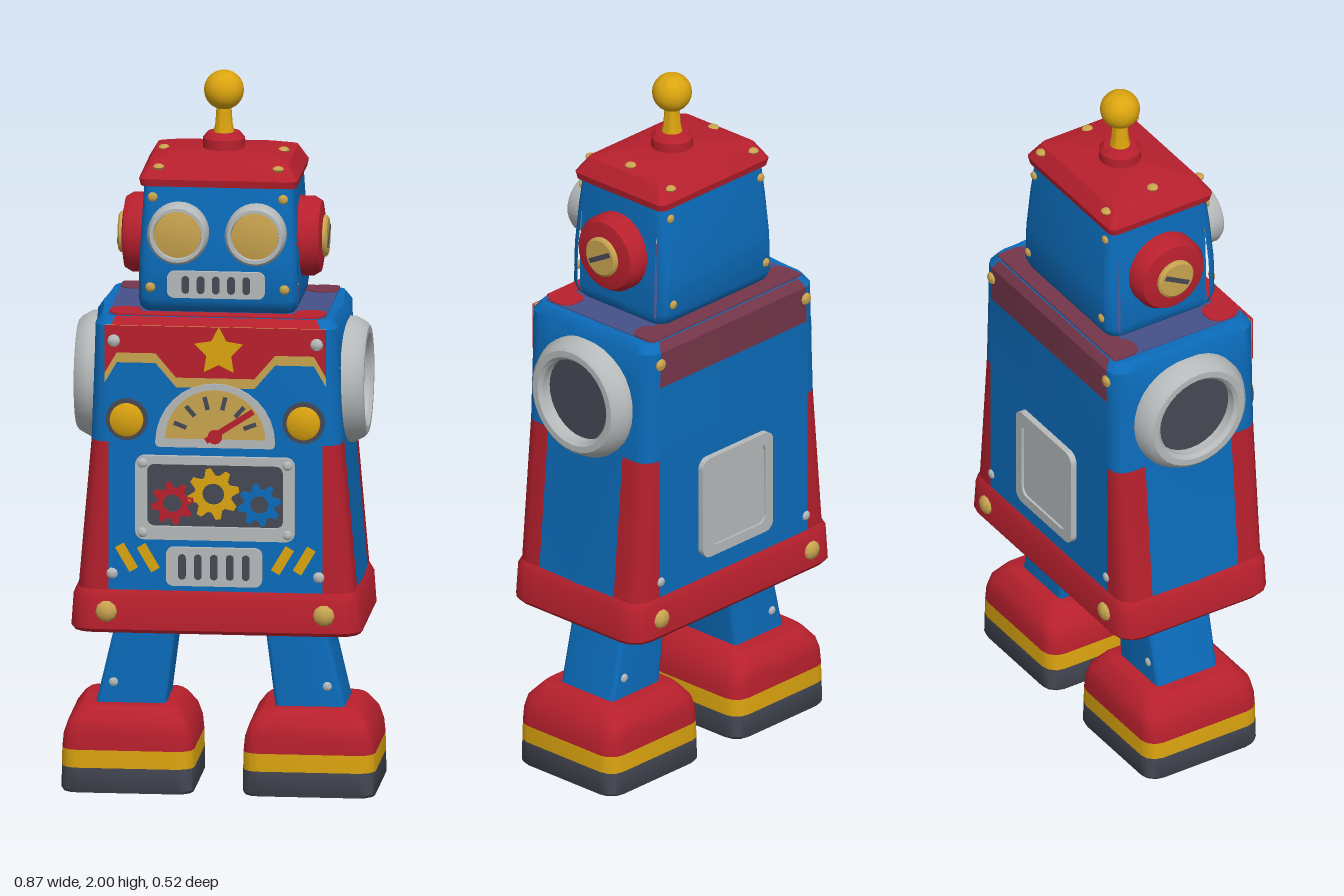
import * as THREE from 'three';
import { toCreasedNormals } from 'three/addons/utils/BufferGeometryUtils.js';

const mat = (name, color) => new THREE.MeshStandardMaterial({ name, color });

export function createModel() {
  const root = new THREE.Group();
  root.name = 'toyRobot';
  const red = mat('red', 0xb8202d), blue = mat('blue', 0x0b6cbb), yellow = mat('yellow', 0xdba40f);
  const tan = mat('pale gold', 0xc9a44f), grey = mat('light grey', 0xb6babb), dark = mat('dark grey', 0x454854);
  const maroon = mat('maroon', 0x75364a), purple = mat('slate purple', 0x465089);

  const add = (name, geo, material) => {
    const m = new THREE.Mesh(toCreasedNormals(geo, 0.62), material);
    m.name = name;
    root.add(m);
    return m;
  };

  // Rounded rectangle section; each entry is [x, z, tag of the face that starts there]
  const section = ({ w, d, r = 0.03, bulge = 0, x = 0 }) => {
    const sz = Math.min(0.14, d - r), fx = Math.min(0.295, w - r), pts = [];
    const arc = (cx, cz, start) => {
      for (let i = 0; i <= 3; i++) {
        const a = start + i * Math.PI / 6;
        pts.push([cx + r * Math.cos(a), cz + r * Math.sin(a), 'corner']);
      }
    };
    pts.push([w + bulge, 0, 'side'], [w, sz, 'corner']);
    arc(w - r, d - r, 0);
    pts.push([fx, d, 'front'], [0, d, 'front'], [-fx, d, 'corner']);
    arc(-w + r, d - r, Math.PI / 2);
    pts.push([-w, sz, 'side'], [-w - bulge, 0, 'side'], [-w, -sz, 'corner']);
    arc(-w + r, -d + r, Math.PI);
    pts.push([-fx, -d, 'back'], [0, -d, 'back'], [fx, -d, 'corner']);
    arc(w - r, -d + r, Math.PI * 1.5);
    pts.push([w, -sz, 'side']);
    return pts.map(p => [p[0] + x, p[1], p[2]]);
  };

  // Closed body through stacked sections, coloured by face tag and height
  const loft = (name, levels, pick) => {
    const bins = new Map(), rings = levels.map(section), n = rings[0].length;
    const put = (m, ...v) => {
      if (!bins.has(m)) bins.set(m, []);
      bins.get(m).push(...v.flat());
    };
    const P = (k, i) => [rings[k][i % n][0], levels[k].y, rings[k][i % n][1]];
    const last = levels.length - 1;
    for (let i = 0; i < n; i++) {
      const p = P(0, i), q = P(0, i + 1);
      if (Math.hypot(p[0] - q[0], p[2] - q[2]) < 1e-5) continue;
      for (let k = 0; k < last; k++) {
        const a = P(k, i), b = P(k, i + 1), c = P(k + 1, i + 1), e = P(k + 1, i);
        put(pick(rings[0][i][2], (levels[k].y + levels[k + 1].y) / 2), a, e, c, a, c, b);
      }
      put(pick('bottom', levels[0].y), [levels[0].x || 0, levels[0].y, 0], p, q);
      put(pick('top', levels[last].y), [levels[last].x || 0, levels[last].y, 0], P(last, i + 1), P(last, i));
    }
    const geo = new THREE.BufferGeometry(), all = [], mats = [...bins.keys()];
    mats.forEach((m, j) => {
      geo.addGroup(all.length / 3, bins.get(m).length / 3, j);
      for (const v of bins.get(m)) all.push(v);
    });
    geo.setAttribute('position', new THREE.Float32BufferAttribute(all, 3));
    return add(name, geo, mats);
  };

  // Flat shapes pushed out along z
  const poly = pts => new THREE.Shape(pts.map(p => new THREE.Vector2(...p)));
  const rrect = (cx, cy, w, h, r) => {
    const s = new THREE.Shape(), x = w / 2 - r, y = h / 2 - r;
    s.absarc(cx + x, cy + y, r, 0, Math.PI / 2);
    s.absarc(cx - x, cy + y, r, Math.PI / 2, Math.PI);
    s.absarc(cx - x, cy - y, r, Math.PI, Math.PI * 1.5);
    s.absarc(cx + x, cy - y, r, Math.PI * 1.5, Math.PI * 2);
    return s;
  };
  const disc = (cx, cy, r) => new THREE.Shape().absarc(cx, cy, r, 0, Math.PI * 2);
  const plate = (name, shape, z, depth, m) => {
    const g = new THREE.ExtrudeGeometry(shape, { depth, bevelEnabled: false, curveSegments: 8 });
    return add(name, g.translate(0, 0, z), m);
  };
  const bar = (name, x1, y1, x2, y2, t, z, m) => {
    const l = Math.hypot(x2 - x1, y2 - y1), nx = -(y2 - y1) / l * t / 2, ny = (x2 - x1) / l * t / 2;
    plate(name, poly([[x1 + nx, y1 + ny], [x1 - nx, y1 - ny], [x2 - nx, y2 - ny], [x2 + nx, y2 + ny]]), z, 0.004, m);
  };

  // Turned parts; the axis points along +-x, y or z
  const orient = (g, axis) => {
    if (axis === 'x') g.rotateZ(-Math.PI / 2);
    if (axis === '-x') g.rotateZ(Math.PI / 2);
    if (axis === 'z') g.rotateX(Math.PI / 2);
    if (axis === '-z') g.rotateX(-Math.PI / 2);
    return g;
  };
  const turned = (name, profile, axis, x, y, z, m) => {
    const g = new THREE.LatheGeometry(profile.map(p => new THREE.Vector2(...p)), 32);
    return add(name, orient(g, axis).translate(x, y, z), m);
  };
  const rivet = (x, y, z, r, axis, m) =>
    add('rivet', orient(new THREE.SphereGeometry(r, 10, 6).scale(1, 0.55, 1), axis).translate(x, y, z), m);

  // Torso and skirt
  const D = 0.232;
  loft('torso', [
    { y: 0.57, w: 0.383, d: D, r: 0.045, bulge: 0.003 }, { y: 1.0, w: 0.346, d: D, r: 0.045, bulge: 0.006 },
    { y: 1.22, w: 0.338, d: D, r: 0.045, bulge: 0.01 }, { y: 1.325, w: 0.335, d: D, r: 0.045, bulge: 0.012 },
    { y: 1.35, w: 0.318, d: 0.214, r: 0.04, bulge: 0.012 }
  ], (tag, y) => {
    if (tag === 'corner' && y < 1) return red;
    if (tag === 'back' && y > 1.22) return maroon;
    return tag === 'front' && y > 1.33 ? red : blue;
  });
  loft('skirt', [
    { y: 0.465, w: 0.395, d: 0.238, r: 0.06 }, { y: 0.475, w: 0.402, d: 0.245, r: 0.06 },
    { y: 0.565, w: 0.396, d: 0.243, r: 0.06 }, { y: 0.585, w: 0.384, d: 0.233, r: 0.05 }
  ], () => red);

  // Painted shoulder top
  const topPlate = (name, shape, y, m) => {
    const g = new THREE.ExtrudeGeometry(shape, { depth: 0.003, bevelEnabled: false });
    add(name, g.rotateX(-Math.PI / 2).translate(0, y, 0), m);
  };
  topPlate('shoulderTop', rrect(0, 0, 0.6, 0.42, 0.03), 1.35, purple);
  topPlate('shoulderBackStrip', rrect(0, 0.175, 0.6, 0.07, 0.01), 1.352, maroon);
  topPlate('shoulderFrontStrip', rrect(0, -0.19, 0.56, 0.045, 0.01), 1.352, red);
  for (const s of [-1, 1]) {
    topPlate('shoulderBackPatch', rrect(s * 0.26, 0.165, 0.08, 0.09, 0.035), 1.353, maroon);
    topPlate('shoulderFrontPatch', rrect(s * 0.255, -0.16, 0.085, 0.09, 0.035), 1.353, red);
  }

  // Chest panel with gold border and star
  const lower = [[0.305, 1.195], [0.272, 1.252], [0.165, 1.252], [0.108, 1.185]];
  const panel = drop => {
    const half = lower.map(([x, y]) => [x, y - drop]);
    return poly([[-0.305, 1.328], ...half.map(([x, y]) => [-x, y]), ...half.reverse(), [0.305, 1.328]]);
  };
  plate('chestBorder', panel(0.028), D - 0.003, 0.006, tan);
  plate('chestPanel', panel(0), D - 0.002, 0.008, red);
  const star = [];
  for (let i = 0; i < 10; i++) {
    const a = Math.PI / 2 + i * Math.PI / 5, r = i % 2 ? 0.036 : 0.07;
    star.push([0.01 + r * Math.cos(a), 1.26 + r * Math.sin(a)]);
  }
  plate('star', poly(star), 0.237, 0.007, yellow);

  // Gauge
  const fan = (r, y) => new THREE.Shape().absarc(0, y, r, 0, Math.PI);
  plate('gaugeFrame', fan(0.165, 1.005), D - 0.005, 0.015, grey);
  plate('gaugeFrameFoot', rrect(0, 1.005, 0.33, 0.03, 0.012), D - 0.005, 0.015, grey);
  plate('gaugeFace', fan(0.138, 1.015), 0.24, 0.004, tan);
  for (let i = 0; i < 6; i++) {
    const a = Math.PI * (0.12 + i * 0.152), c = Math.cos(a), s = Math.sin(a);
    bar('gaugeTick', 0.085 * c, 1.015 + 0.085 * s, 0.122 * c, 1.015 + 0.122 * s, 0.012, 0.242, dark);
  }
  bar('gaugeNeedle', -0.025, 1.01, 0.105, 1.095, 0.016, 0.244, red);
  plate('needleHub', disc(0, 1.022, 0.02), 0.244, 0.005, red);

  // Knobs
  for (const s of [-1, 1]) {
    turned('knobRing', [[0.058, 0], [0.058, 0.012], [0, 0.012]], 'z', s * 0.244, 1.065, D - 0.002, dark);
    turned('knob', [[0.047, 0], [0.046, 0.018], [0.034, 0.024], [0, 0.026]], 'z', s * 0.244, 1.065, D, yellow);
  }

  // Gear window
  const frame = rrect(0, 0.848, 0.44, 0.235, 0.025);
  frame.holes.push(rrect(0, 0.855, 0.375, 0.175, 0.02));
  plate('windowFrame', frame, D - 0.005, 0.02, grey);
  plate('windowBack', rrect(0, 0.855, 0.4, 0.2, 0.02), D - 0.003, 0.006, dark);
  const gear = (cx, cy, r, m) => {
    const pts = [], teeth = 8;
    for (let i = 0; i < teeth * 4; i++) {
      const a = (i + 0.5) / (teeth * 4) * Math.PI * 2, k = i % 4 < 2 ? r : r * 0.72;
      pts.push([cx + k * Math.cos(a), cy + k * Math.sin(a)]);
    }
    const s = poly(pts);
    s.holes.push(disc(cx, cy, r * 0.42));
    plate('gear', s, 0.234, 0.009, m);
  };
  gear(-0.118, 0.832, 0.06, red);
  gear(-0.005, 0.86, 0.072, yellow);
  gear(0.122, 0.832, 0.06, blue);
  for (const x of [-0.2, 0.2]) for (const y of [0.75, 0.945]) rivet(x, y, 0.247, 0.014, 'z', grey);

  // Slotted grilles for belly and mouth
  const grille = (name, y, w, h, z, depth, gap) => {
    plate(name, rrect(-0.003, y, w, h, 0.02), z, depth, grey);
    for (let i = -2; i <= 2; i++) plate(name + 'Slot', rrect(-0.003 + i * gap, y, 0.021, h * 0.66, 0.0104), z + depth - 0.003, 0.005, dark);
  };
  grille('bellyGrille', 0.655, 0.265, 0.108, D - 0.005, 0.018, 0.044);
  grille('mouth', 1.436, 0.27, 0.075, 0.165, 0.026, 0.042);

  // Slashes and front rivets
  for (const s of [-1, 1]) {
    for (const x of [0.185, 0.245]) bar('slash', s * (x - 0.02), 0.642, s * (x + 0.02), 0.71, 0.027, D - 0.001, yellow);
    rivet(s * 0.28, 1.285, D + 0.006, 0.018, 'z', grey);
    rivet(s * 0.285, 0.63, D, 0.016, 'z', grey);
    rivet(s * 0.3, 0.525, 0.244, 0.03, 'z', tan);
    rivet(s * 0.3, 0.525, -0.244, 0.028, '-z', tan);
    rivet(s * 0.29, 1.29, -D, 0.018, '-z', tan);
    rivet(s * 0.29, 0.63, -D, 0.014, '-z', grey);
  }

  // Back hatch
  const hatch = rrect(0, 0.8, 0.28, 0.3, 0.03);
  hatch.holes.push(rrect(0, 0.8, 0.22, 0.24, 0.025));
  plate('hatchRim', hatch, -0.25, 0.022, grey);
  plate('hatch', rrect(0, 0.8, 0.25, 0.27, 0.02), -0.243, 0.015, grey);

  // Head and cap
  loft('head', [
    { y: 1.352, w: 0.205, d: 0.152 }, { y: 1.365, w: 0.216, d: 0.168 }, { y: 1.39, w: 0.22, d: 0.18 },
    { y: 1.5, w: 0.218, d: 0.179 }, { y: 1.62, w: 0.211, d: 0.17 }, { y: 1.715, w: 0.206, d: 0.158 }
  ], () => blue);
  loft('headCap', [
    { y: 1.705, w: 0.215, d: 0.165, r: 0.02 }, { y: 1.725, w: 0.219, d: 0.169, r: 0.02 },
    { y: 1.77, w: 0.193, d: 0.14, r: 0.02 }, { y: 1.785, w: 0.14, d: 0.09, r: 0.02 }
  ], () => red);
  for (const s of [-1, 1]) {
    for (const z of [-0.15, 0, 0.15]) rivet(s * 0.165, z ? 1.757 : 1.779, z, 0.016, 'y', tan);
    rivet(s * 0.18, 1.675, 0.165, 0.014, 'z', tan);
    rivet(s * 0.185, 1.425, 0.18, 0.014, 'z', tan);
    rivet(s * 0.18, 1.675, -0.165, 0.013, '-z', tan);
    rivet(s * 0.185, 1.42, -0.18, 0.013, '-z', tan);
  }

  // Antenna
  turned('antennaBase', [[0.058, 0], [0.058, 0.04], [0.045, 0.055], [0, 0.057]], 'y', 0, 1.772, 0, red);
  turned('antennaStem', [[0.03, 0], [0.024, 0.03], [0.019, 0.1]], 'y', 0, 1.82, 0, yellow);
  add('antennaBall', new THREE.SphereGeometry(0.055, 28, 18).translate(0, 1.945, 0), yellow);

  for (const s of [-1, 1]) {
    const ax = s > 0 ? 'x' : '-x';
    // Eyes
    turned('eyeRim', [[0.084, 0], [0.084, 0.05], [0.076, 0.062], [0.067, 0.062], [0.064, 0.045]], 'z', s * 0.107, 1.58, 0.16, grey);
    turned('eyeLens', [[0.067, 0], [0.067, 0.05], [0.04, 0.055], [0, 0.057]], 'z', s * 0.107, 1.58, 0.16, tan);
    // Ears
    turned('ear', [[0.11, 0], [0.11, 0.05], [0.098, 0.07], [0.065, 0.076], [0, 0.076]], ax, s * 0.2, 1.54, 0, red);
    turned('earScrew', [[0.057, 0], [0.057, 0.014], [0.05, 0.019], [0, 0.019]], ax, s * 0.27, 1.54, 0, tan);
    add('earSlot', new THREE.BoxGeometry(0.004, 0.014, 0.085).rotateX(0.5).translate(s * 0.289, 1.54, 0), dark);
    // Arm sockets
    turned('armSocketRing', [[0.174, 0], [0.174, 0.03], [0.158, 0.06], [0.148, 0.068], [0.13, 0.068], [0.12, 0.058], [0.12, 0]], ax, s * 0.332, 1.14, 0, grey);
    turned('armSocketDisc', [[0.125, 0], [0.125, 0.03], [0, 0.03]], ax, s * 0.332, 1.14, 0, dark);
    // Legs and feet
    loft('leg', [
      { y: 0.22, w: 0.097, d: 0.098, r: 0.012, x: s * 0.25 }, { y: 0.48, w: 0.083, d: 0.098, r: 0.012, x: s * 0.203 }
    ], () => blue);
    rivet(s * 0.295, 0.295, 0.098, 0.013, 'z', grey);
    rivet(s * 0.295, 0.295, -0.098, 0.013, '-z', grey);
    const X = s * 0.25;
    loft('foot', [
      { y: 0, w: 0.18, d: 0.18, r: 0.045, x: X }, { y: 0.008, w: 0.184, d: 0.184, r: 0.045, x: X },
      { y: 0.07, w: 0.183, d: 0.183, r: 0.045, x: X }, { y: 0.12, w: 0.182, d: 0.182, r: 0.045, x: X },
      { y: 0.16, w: 0.178, d: 0.181, r: 0.045, x: X }, { y: 0.195, w: 0.166, d: 0.176, r: 0.045, x: X },
      { y: 0.228, w: 0.142, d: 0.148, r: 0.04, x: X }, { y: 0.238, w: 0.13, d: 0.138, r: 0.04, x: X }
    ], (tag, y) => (tag === 'top' || y > 0.12 ? red : y > 0.07 ? yellow : dark));
  }
  return root;
}
